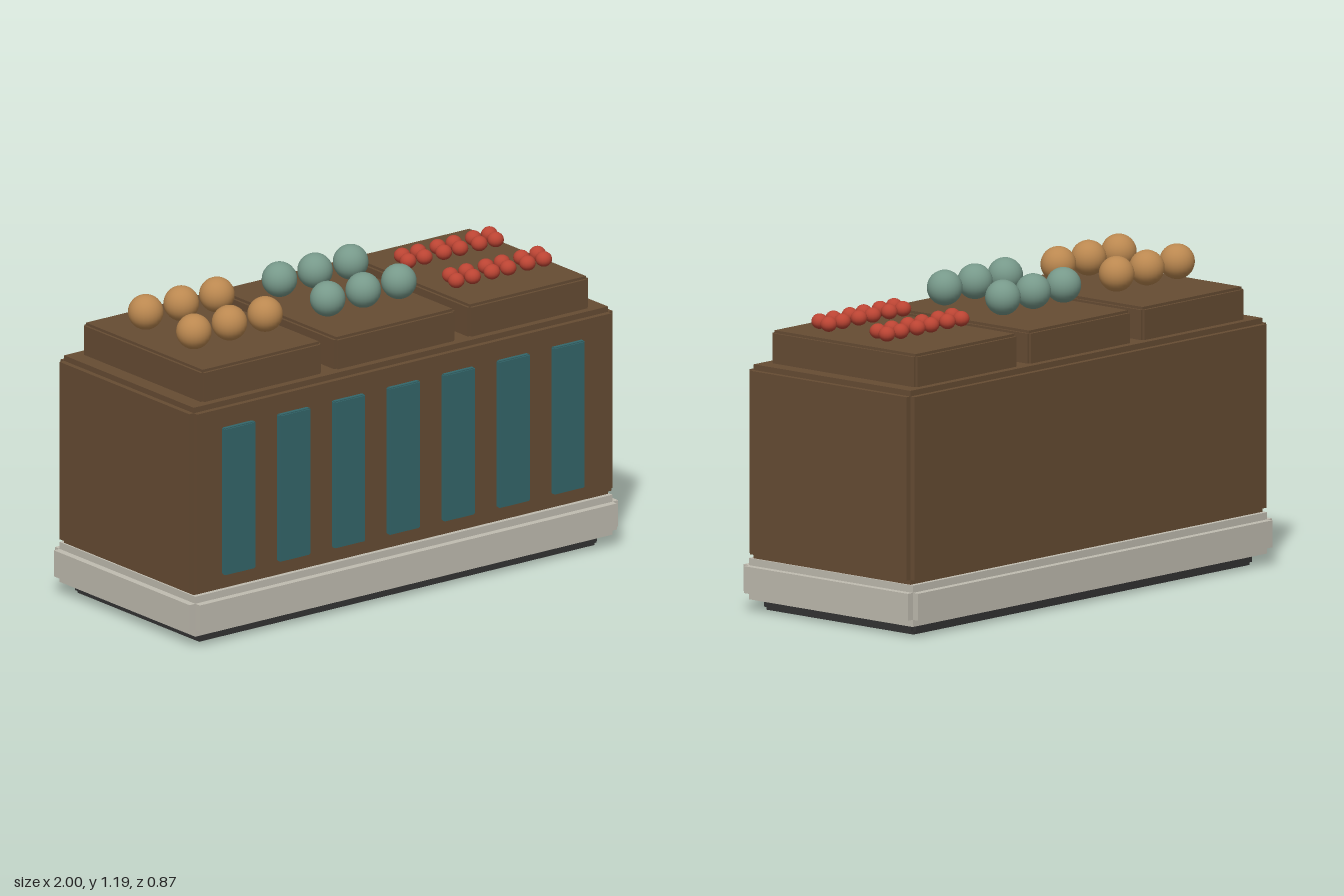
import * as THREE from 'three';

const mat = (name, color) => {
  const m = new THREE.MeshStandardMaterial({ color });
  m.name = name;
  return m;
};

export function createModel() {
  const wood = mat('brown wood', 0x664c33);
  const teal = mat('teal panel', 0x33666a);
  const stone = mat('pale plinth', 0xc0bcb0);
  const dark = mat('dark foot', 0x333333);
  const orange = mat('orange fruit', 0xbb8850);
  const green = mat('green melon', 0x77998a);
  const red = mat('red tomato', 0xbb4433);

  const model = new THREE.Group();
  model.name = 'produceStand';

  // Box with notched edges: three crossing boxes, each full size on one axis only
  function notchedBox(name, material, [w, h, d], [x, y, z], notch) {
    const group = new THREE.Group();
    group.name = name;
    const n = notch * 2;
    const sizes = [[w, h - n, d - n], [w - n, h, d - n], [w - n, h - n, d]];
    for (const size of sizes) {
      const mesh = new THREE.Mesh(new THREE.BoxGeometry(...size), material);
      mesh.name = name + 'Core';
      group.add(mesh);
    }
    group.position.set(x, y, z);
    model.add(group);
  }

  // Foot, plinth and cabinet
  notchedBox('foot', dark, [1.87, 0.075, 0.755], [0, 0.0375, 0], 0.013);
  notchedBox('plinth', stone, [2, 0.155, 0.868], [0, 0.1185, 0], 0.027);
  notchedBox('cabinet', wood, [1.974, 0.73, 0.82], [0, 0.558, 0], 0.021);

  // Teal panels along the front
  for (let i = 0; i < 7; i++) {
    notchedBox('frontPanel', teal, [0.144, 0.57, 0.023], [-0.781 + i * 0.256, 0.545, 0.421], 0.004);
  }

  // Three display trays
  for (const x of [-0.623, 0, 0.623]) {
    notchedBox('tray', wood, [0.562, 0.145, 0.72], [x, 0.973, 0], 0.01);
  }

  // Produce: two rows of three on each tray
  const bigFruit = new THREE.SphereGeometry(0.066, 24, 16);
  const smallFruit = new THREE.SphereGeometry(0.031, 16, 12);
  smallFruit.scale(1, 0.92, 1);
  function fruit(name, geometry, material, x, y, z) {
    const mesh = new THREE.Mesh(geometry, material);
    mesh.name = name;
    mesh.position.set(x, y, z);
    model.add(mesh);
  }
  const cluster = [[-0.027, -0.032], [0.048, -0.032], [-0.049, 0.032], [0.027, 0.032]];
  for (const z of [0.166, -0.123]) {
    for (const step of [-0.166, 0, 0.166]) {
      fruit('orangeFruit', bigFruit, orange, -0.626 + step, 1.126, z);
      fruit('greenMelon', bigFruit, green, -0.002 + step, 1.126, z);
      for (const [dx, dz] of cluster) {
        fruit('tomato', smallFruit, red, 0.622 + step + dx, 1.088, z + dz);
      }
    }
  }
  return model;
}
